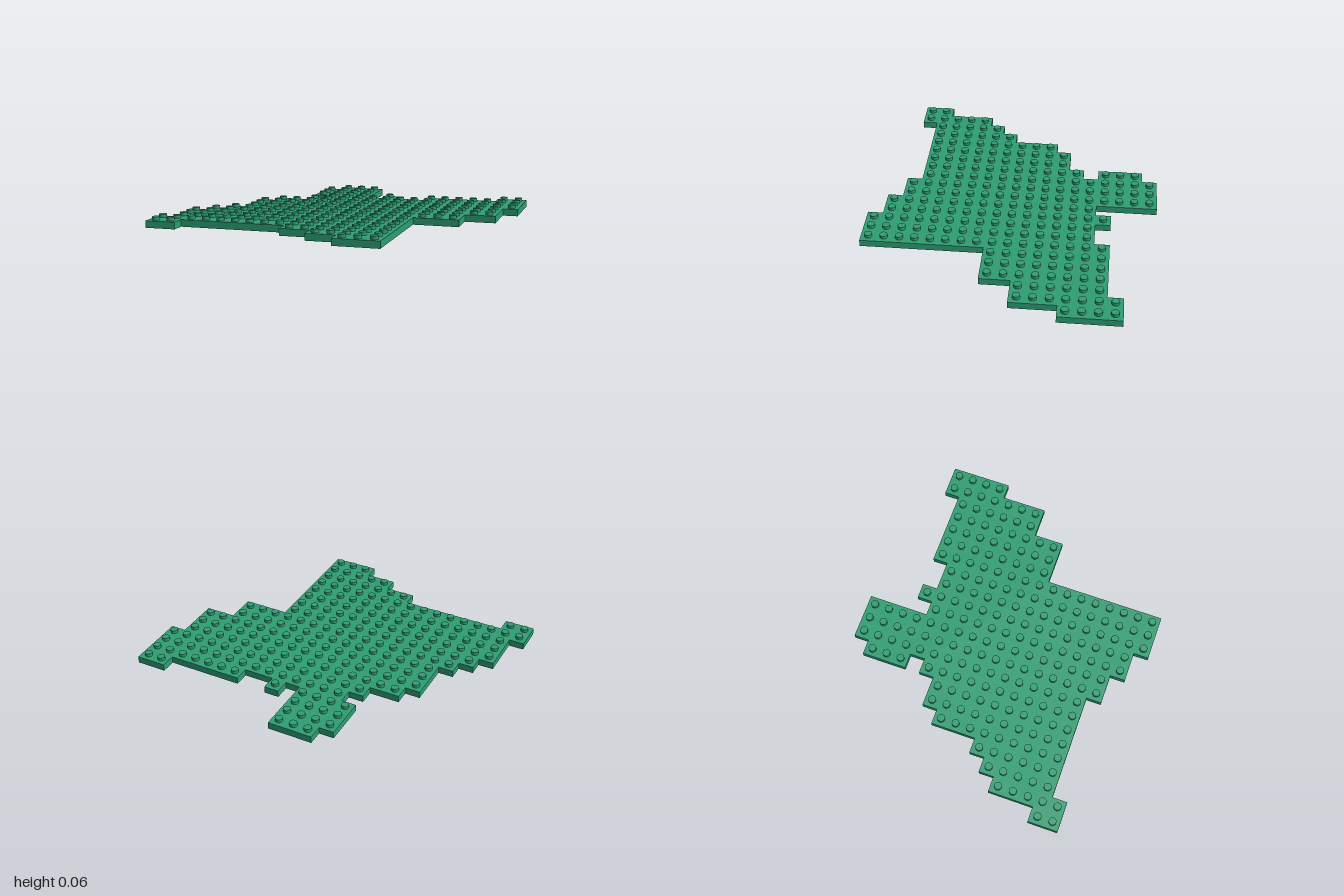
import * as THREE from 'three';
import { mergeGeometries } from 'three/addons/utils/BufferGeometryUtils.js';

const COLS = 22, ROWS = 19, CELL = 2 / COLS;
const PLATE = 0.042, STUD_H = 0.02, STUD_R = CELL * 0.25;

// Stepped outline in whole cells: [column, row], row 0 at the back
const OUTLINE = [
  [8, 0], [11, 0], [11, 4], [12, 4], [12, 3], [13, 3], [13, 4], [15, 4], [15, 3], [20, 3],
  [20, 2], [22, 2], [22, 6], [21, 6], [21, 9], [19, 9], [19, 11], [16, 11], [16, 19], [13, 19],
  [13, 18], [11, 18], [11, 17], [9, 17], [9, 16], [2, 16], [2, 17], [0, 17], [0, 15], [1, 15],
  [1, 12], [2, 12], [2, 11], [3, 11], [3, 10], [4, 10], [4, 7], [5, 7], [5, 6], [7, 6],
  [7, 5], [8, 5], [8, 4], [7, 4], [7, 1], [8, 1],
];

const toX = (col) => (col - COLS / 2) * CELL;
const toZ = (row) => (row - ROWS / 2) * CELL;

// True when the centre of a cell lies within the outline
function insideOutline(col, row) {
  const cx = col + 0.5, cy = row + 0.5;
  let inside = false;
  OUTLINE.forEach(([x1, y1], i) => {
    const [x2, y2] = OUTLINE[(i + 1) % OUTLINE.length];
    if (x1 === x2 && x1 > cx && (y1 > cy) !== (y2 > cy)) inside = !inside;
  });
  return inside;
}

export function createModel() {
  const group = new THREE.Group();
  group.name = 'studdedPlate';
  const green = new THREE.MeshStandardMaterial({ color: 0x2e9e73 });

  // Flat base plate
  const shape = new THREE.Shape(OUTLINE.map(([c, r]) => new THREE.Vector2(toX(c), -toZ(r))));
  const plateGeometry = new THREE.ExtrudeGeometry(shape, { depth: PLATE, bevelEnabled: false });
  plateGeometry.rotateX(-Math.PI / 2);
  const plate = new THREE.Mesh(plateGeometry, green);
  plate.name = 'basePlate';
  group.add(plate);

  // One round stud on every cell
  const stud = new THREE.CylinderGeometry(STUD_R, STUD_R, STUD_H, 16);
  const studGeometries = [];
  for (let row = 0; row < ROWS; row++) {
    for (let col = 0; col < COLS; col++) {
      if (!insideOutline(col, row)) continue;
      studGeometries.push(stud.clone().translate(toX(col + 0.5), PLATE + STUD_H / 2, toZ(row + 0.5)));
    }
  }
  const studs = new THREE.Mesh(mergeGeometries(studGeometries), green);
  studs.name = 'studs';
  group.add(studs);

  return group;
}
